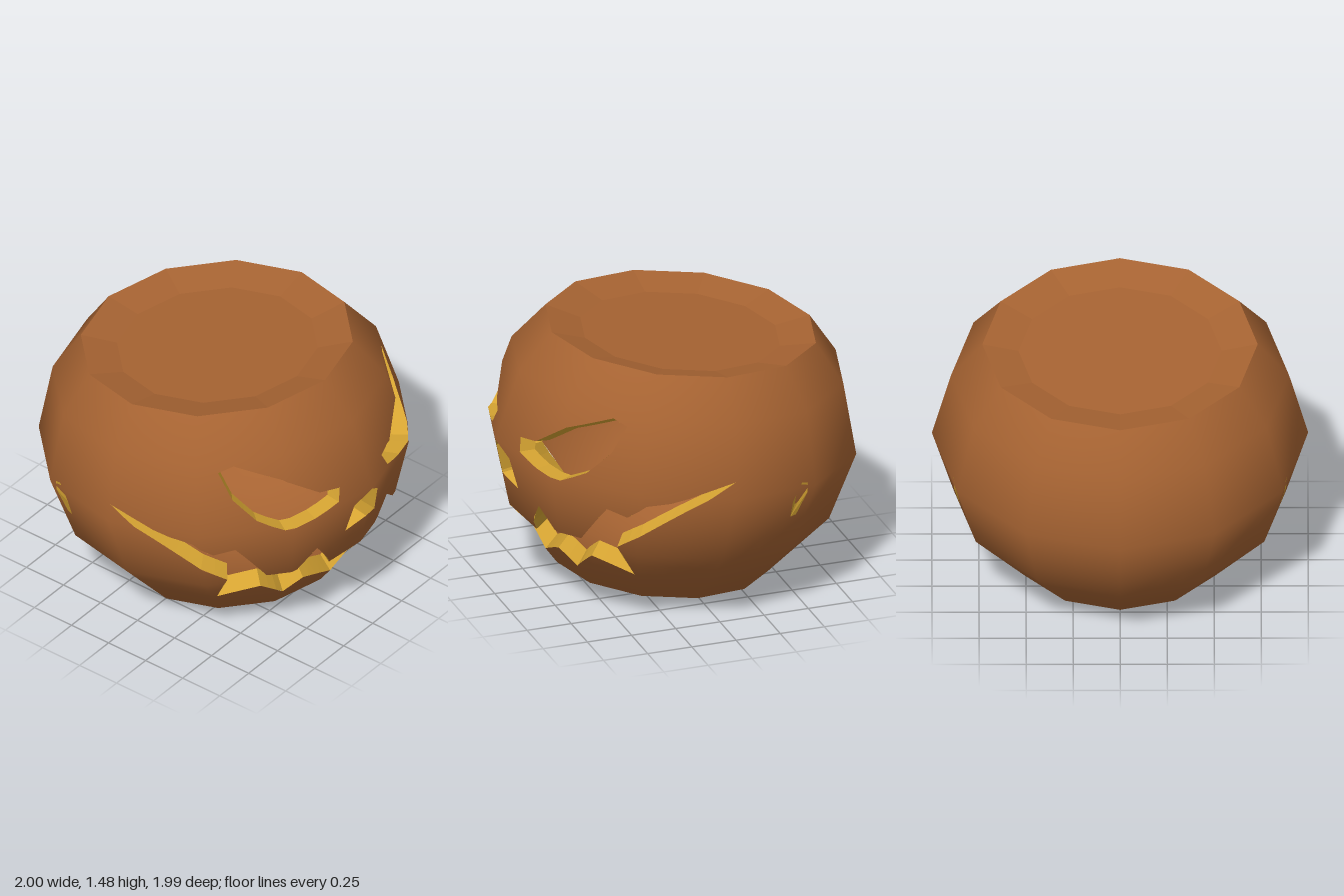
import * as THREE from 'three';

const TILT = 0.087, LIFT = 0.815, THICK = 0.1, RAD = Math.PI / 180;
const ROOT_V = -1.24, TOP_V = 0.6;

// Outer profile: path parameter v, radius, height, elevation of the normal in degrees
const PROFILE = [
  [ROOT_V, 0, -0.818, -90], [-0.74, 0.585, -0.74, -60], [-0.39, 0.885, -0.39, -32],
  [0, 1, 0, 0], [0.39, 0.898, 0.39, 25], [TOP_V, 0.732, 0.6, 38],
];

function profileAt(v) {
  let i = 0;
  while (i < PROFILE.length - 2 && v > PROFILE[i + 1][0]) i++;
  const a = PROFILE[i], b = PROFILE[i + 1];
  const t = (v - a[0]) / (b[0] - a[0]);
  return a.map((n, k) => n + (b[k] - n) * t);
}

// Radius factor that turns the circle into a 12-sided outline
function facet(deg) {
  const m = ((deg % 30) + 30) % 30;
  return Math.cos(15 * RAD) / Math.cos((m - 15) * RAD);
}

// Point and smooth normal of the shell, at a depth below the skin
function shellPoint(deg, v, depth) {
  const [, r, u, elev] = profileAt(v);
  const s = Math.sin(deg * RAD), c = Math.cos(deg * RAD), f = facet(deg);
  const ne = Math.cos(elev * RAD), nu = Math.sin(elev * RAD);
  const rr = (r - ne * depth) * f;
  return { p: [rr * s, u - nu * depth, rr * c], n: [ne * s, nu, ne * c] };
}

// Front position (x, y) to shell coordinates (degrees, v)
function fromFront([x, y]) {
  let deg = 30, v = 0;
  for (let i = 0; i < 80; i++) {
    const r = profileAt(v)[1] * facet(deg);
    v = (y - LIFT - r * Math.cos(deg * RAD) * Math.sin(TILT)) / Math.cos(TILT);
    const next = Math.asin(Math.min(1, x / (profileAt(v)[1] * facet(deg)))) / RAD;
    deg = (deg + next) / 2;
  }
  return [x === 0 ? 0 : deg, v];
}

const mirror = (pts) => pts.map(([d, v]) => [-d, v]).reverse();

// Carved openings
const eye = [[0.18, 0.98], [0.21, 0.91], [0.36, 0.87], [0.53, 0.86], [0.63, 0.93], [0.69, 1.05],
  [0.705, 1.2], [0.64, 1.23], [0.48, 1.14], [0.3, 1.0]].map(fromFront);
const noseHalf = [[0, 0.7], [0.125, 0.655], [0.1, 0.825], [0, 0.9]].map(fromFront);
const mouthHalf = [[0, 0.22], [0.26, 0.34], [0.33, 0.25], [0.5, 0.38], [0.62, 0.29], [0.69, 0.5],
  [1, 0.91], [0.9, 0.805], [0.86, 0.79], [0.78, 0.705], [0.7, 0.735], [0.54, 0.51], [0.41, 0.52],
  [0.3, 0.62], [0.14, 0.41], [0, 0.51]].map(fromFront);
const closeHalf = (half) => [...half, ...mirror(half).slice(1, -1)];
const openings = {
  leftEye: eye, rightEye: mirror(eye), nose: closeHalf(noseHalf), mouth: closeHalf(mouthHalf),
};
const edgesOf = (poly) => poly.map((a, i) => [a, poly[(i + 1) % poly.length]]);
const allEdges = Object.values(openings).flatMap(edgesOf);

function toGeometry(pos, nor) {
  const g = new THREE.BufferGeometry();
  g.setAttribute('position', new THREE.Float32BufferAttribute(pos, 3));
  if (nor) g.setAttribute('normal', new THREE.Float32BufferAttribute(nor, 3));
  else g.computeVertexNormals();
  return g;
}

// Curved skin with the openings left out, cut into vertical slabs
function skinGeometry(depth, inward) {
  const pos = [], nor = [];
  const cuts = allEdges.map(([a]) => a[0]);
  for (let d = -180; d <= 180; d += 7.5) cuts.push(d);
  cuts.sort((a, b) => a - b);
  const rows = [];
  PROFILE.slice(1).forEach(([v], i) => {
    const v0 = PROFILE[i][0];
    for (let k = 1; k <= 4; k++) rows.push(v0 + (v - v0) * k / 4);
  });
  const put = (d, v) => {
    const { p, n } = shellPoint(d, v, depth);
    pos.push(...p);
    nor.push(...(inward ? n.map((k) => -k) : n));
  };
  for (let i = 0; i < cuts.length - 1; i++) {
    const d0 = cuts[i], d1 = cuts[i + 1], mid = (d0 + d1) / 2;
    if (d1 - d0 < 1e-5) continue;
    const at = ([a, b], d) => a[1] + (b[1] - a[1]) * (d - a[0]) / (b[0] - a[0]);
    const lines = allEdges
      .filter(([a, b]) => (a[0] < mid) !== (b[0] < mid))
      .sort((e, f) => at(e, mid) - at(f, mid))
      .map((e) => [at(e, d0), at(e, d1)]);
    lines.unshift([ROOT_V, ROOT_V]);
    lines.push([TOP_V, TOP_V]);
    for (let k = 0; k < lines.length; k += 2) {
      const lo = lines[k], hi = lines[k + 1];
      let prev = lo;
      for (const row of [...rows, 9]) {
        const next = [0, 1].map((s) => Math.max(lo[s], Math.min(hi[s], row)));
        if (next[0] - prev[0] + next[1] - prev[1] < 1e-7) continue;
        const q = [[d0, prev[0]], [d1, prev[1]], [d1, next[1]], [d0, next[0]]];
        const order = inward ? [0, 2, 1, 0, 3, 2] : [0, 1, 2, 0, 2, 3];
        order.forEach((n) => put(...q[n]));
        prev = next;
      }
    }
  }
  return toGeometry(pos, nor);
}

// Cut walls around one opening, from skin to cavity
function wallGeometry(poly) {
  const pos = [];
  for (const [a, b] of edgesOf(poly)) {
    const steps = Math.max(1, Math.ceil(Math.hypot((b[0] - a[0]) / 5, (b[1] - a[1]) / 0.1)));
    const at = (t, depth) =>
      shellPoint(a[0] + (b[0] - a[0]) * t, a[1] + (b[1] - a[1]) * t, depth).p;
    for (let i = 0; i < steps; i++) {
      const t0 = i / steps, t1 = (i + 1) / steps;
      const q = [at(t0, 0), at(t0, THICK), at(t1, THICK), at(t1, 0)];
      [0, 2, 1, 0, 3, 2].forEach((n) => pos.push(...q[n]));
    }
  }
  return toGeometry(pos);
}

// 12-sided disc or ring between two [radius, height] circles, facing up
function ringGeometry([r0, y0], [r1, y1]) {
  const pos = [];
  const at = (r, y, i) => [r * Math.sin(i * 30 * RAD), y, r * Math.cos(i * 30 * RAD)];
  for (let i = 0; i < 12; i++) {
    const q = [at(r0, y0, i), at(r0, y0, i + 1), at(r1, y1, i + 1), at(r1, y1, i)];
    [0, 1, 2, 0, 2, 3].forEach((n) => pos.push(...q[n]));
  }
  return toGeometry(pos);
}

export function createModel() {
  const rind = new THREE.MeshStandardMaterial({ color: 0xa66332 });
  rind.name = 'rindBrown';
  const flesh = new THREE.MeshStandardMaterial({ color: 0xd6a432, side: THREE.DoubleSide });
  flesh.name = 'fleshYellow';

  const pumpkin = new THREE.Group();
  pumpkin.name = 'pumpkin';
  pumpkin.rotation.x = -TILT;
  pumpkin.position.y = LIFT;
  const add = (name, geometry, material) => {
    const mesh = new THREE.Mesh(geometry, material);
    mesh.name = name;
    pumpkin.add(mesh);
    return mesh;
  };

  add('outerSkin', skinGeometry(0, false), rind);
  add('cavity', skinGeometry(THICK, true), rind);

  // Shallow dish on top, and the ceiling of the cavity below it
  add('topDishSlope', ringGeometry([0.732, 0.6], [0.54, 0.555]), rind);
  add('topDishFloor', ringGeometry([0.54, 0.555], [0, 0.555]), rind);
  const ceiling = add('cavityCeiling', ringGeometry([0.66, 0], [0, 0]), rind);
  ceiling.rotation.x = Math.PI;
  ceiling.position.y = 0.535;

  for (const [name, poly] of Object.entries(openings)) add(name + 'Walls', wallGeometry(poly), flesh);

  // Small leaf-shaped marks on both sides
  const mark = [[114, -0.18], [116, -0.17], [117.5, -0.035], [117, 0.025], [115, 0.03], [113, -0.08]];
  for (const [name, poly] of [['leftMark', mark], ['rightMark', mirror(mark)]]) {
    const pos = [];
    for (let i = 1; i < poly.length - 1; i++)
      [poly[0], poly[i], poly[i + 1]].forEach(([d, v]) => pos.push(...shellPoint(d, v, -0.006).p));
    add(name, toGeometry(pos), flesh);
  }

  const model = new THREE.Group();
  model.name = 'carvedPumpkin';
  model.add(pumpkin);
  return model;
}
